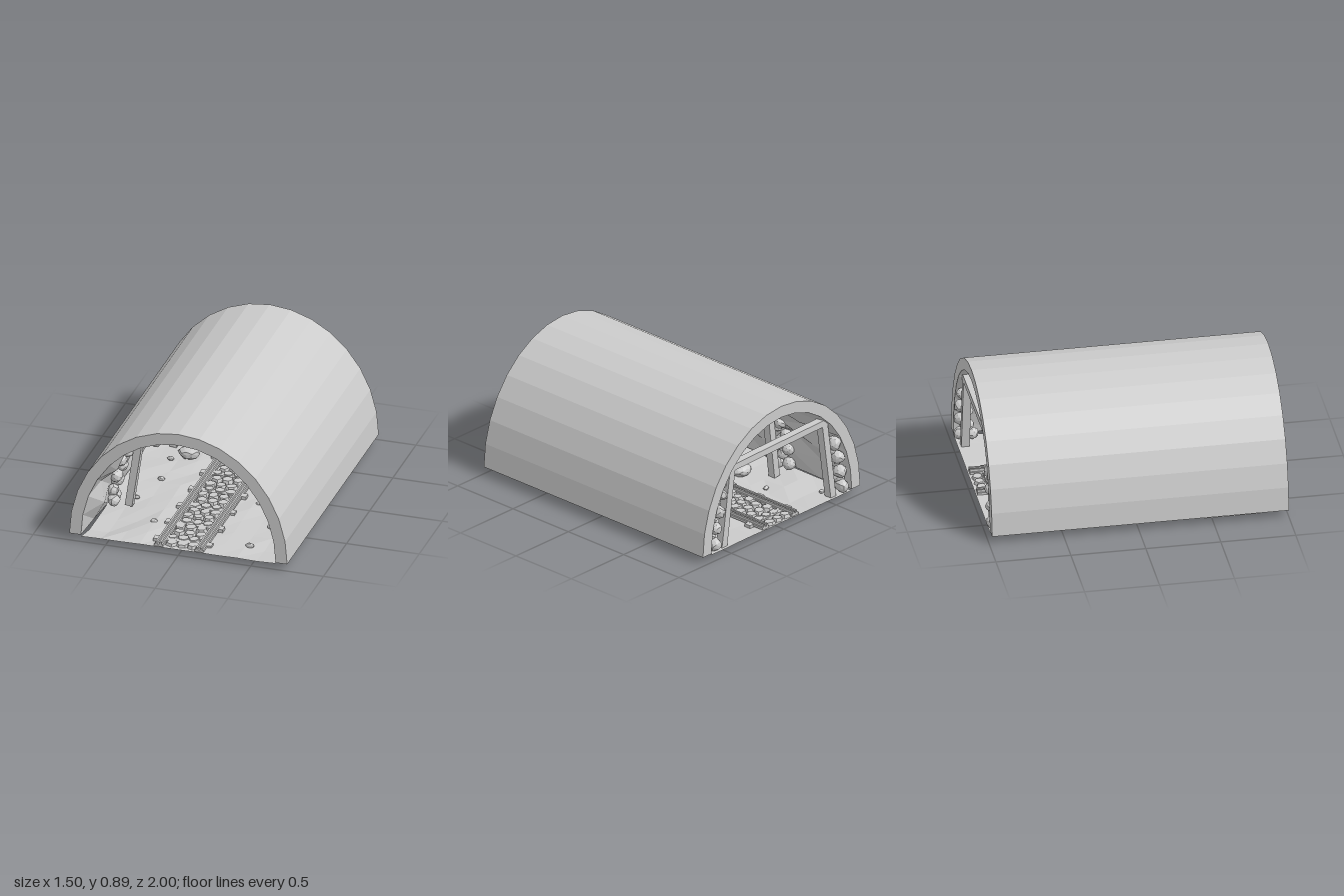
import * as THREE from 'three';

const BASE = 0.05, Z0 = -0.98, Z1 = 1, ARC = 16, ROWS = 8;
const mat = new THREE.MeshStandardMaterial({ color: 0xcccccc, flatShading: true });
const sheetMat = new THREE.MeshStandardMaterial({ color: 0xcccccc, flatShading: true, side: THREE.DoubleSide });

// repeatable noise in 0..1
function hash(a, b = 0, c = 0) {
  const s = Math.sin(a * 127.1 + b * 311.7 + c * 74.7 + 3.1) * 43758.5453;
  return s - Math.floor(s);
}

function add(parent, name, geometry, material = mat) {
  const mesh = new THREE.Mesh(geometry, material);
  mesh.name = name;
  parent.add(mesh);
  return mesh;
}

// grid of quads through point(i, j)
function sheet(nu, nv, point) {
  const pos = [], idx = [];
  for (let j = 0; j <= nv; j++) for (let i = 0; i <= nu; i++) pos.push(...point(i, j));
  for (let j = 0; j < nv; j++) for (let i = 0; i < nu; i++) {
    const a = j * (nu + 1) + i, b = a + 1, c = a + nu + 1, d = c + 1;
    idx.push(a, c, b, b, c, d);
  }
  const g = new THREE.BufferGeometry();
  g.setAttribute('position', new THREE.Float32BufferAttribute(pos, 3));
  g.setIndex(idx);
  const flat = g.toNonIndexed();
  flat.computeVertexNormals();
  return flat;
}

const rowZ = j => Z0 + (Z1 - Z0) * j / ROWS;
const arch = (i, rx, ry, z) => {
  const t = Math.PI * i / ARC;
  return [rx * Math.cos(t), BASE + ry * Math.sin(t), z];
};
const outer = (i, j) => arch(i, 0.75, 0.84, rowZ(j));
// rock face bulges inwards, but meets the end rings cleanly
const inner = (i, j) => {
  const end = j === 0 || j === ROWS;
  const foot = i === 0 || i === ARC;
  const n = end ? 0 : (foot ? 0.03 : 0.075) * hash(i, j);
  return arch(i, 0.67 - n, 0.76 - n, rowZ(j));
};

// timber between two points
function bar(parent, name, a, b, w, d) {
  const p = new THREE.Vector3(...a), q = new THREE.Vector3(...b);
  const m = add(parent, name, new THREE.BoxGeometry(w, p.distanceTo(q), d));
  m.position.copy(p).lerp(q, 0.5);
  m.quaternion.setFromUnitVectors(new THREE.Vector3(0, 1, 0), q.sub(p).normalize());
  return m;
}

// faceted, lumpy stone
function stone(parent, name, x, y, z, rx, ry, rz, seed) {
  const g = new THREE.IcosahedronGeometry(1, 1), p = g.attributes.position;
  const v = new THREE.Vector3();
  for (let i = 0; i < p.count; i++) {
    v.fromBufferAttribute(p, i);
    const k = 0.84 + 0.16 * hash(Math.round(v.x * 50) + seed, Math.round(v.y * 50), Math.round(v.z * 50));
    p.setXYZ(i, v.x * k * rx, v.y * k * ry, v.z * k * rz);
  }
  g.computeVertexNormals();
  add(parent, name, g).position.set(x, y, z);
}

function floorY(x, z) {
  const dip = Math.max(0, 1 - Math.abs(z - 0.63) / 0.36) * Math.max(0, 1 - Math.abs(x + 0.63) / 0.3);
  const end = Math.abs(z) > 0.95 ? 0.3 : 1;
  return Math.max(0, 0.044 - 0.02 * end * hash(x * 9, z * 7) - 0.08 * dip);
}

export function createModel() {
  const model = new THREE.Group();
  model.name = 'mineTunnel';

  // arched shell
  const shell = new THREE.Group();
  shell.name = 'tunnelShell';
  model.add(shell);
  add(shell, 'outerVault', sheet(ARC, ROWS, outer), sheetMat);
  add(shell, 'innerRockFace', sheet(ARC, ROWS, inner), sheetMat);
  for (const j of [0, ROWS])
    add(shell, 'endRing', sheet(ARC, 1, (i, k) => (k ? inner : outer)(i, j)), sheetMat);
  for (const i of [0, ARC])
    add(shell, 'wallFoot', sheet(1, ROWS, (k, j) => (k ? inner : outer)(i, j)), sheetMat);

  // uneven ground
  add(model, 'floor', sheet(10, 11, (i, j) => {
    const x = -0.67 + 0.134 * i, z = Z0 + (Z1 - Z0) * j / 11;
    return [x, floorY(x, z), z];
  }), sheetMat);

  // track: sleepers, rails and cobbles
  const track = new THREE.Group();
  track.name = 'track';
  model.add(track);
  for (let k = 0; k < 8; k++)
    add(track, 'sleeper', new THREE.BoxGeometry(0.4, 0.022, 0.05)).position.set(0, 0.046, -0.86 + k * 0.25);
  for (const s of [-1, 1]) {
    add(track, 'railFoot', new THREE.BoxGeometry(0.06, 0.016, 1.96)).position.set(s * 0.14, 0.05, 0.01);
    for (const e of [-1, 1])
      add(track, 'railEdge', new THREE.BoxGeometry(0.012, 0.022, 1.96)).position.set(s * 0.14 + e * 0.014, 0.064, 0.01);
  }
  for (let r = 0; r < 24; r++) for (let c = 0; c < 3; c++) {
    const n = r * 3 + c;
    const m = add(track, 'cobble', new THREE.CylinderGeometry(0.034, 0.044, 0.024, 5 + n % 3));
    m.scale.set(0.85 + 0.25 * hash(n), 1, 0.85 + 0.3 * hash(n, 1));
    m.rotation.y = hash(n, 2) * 6;
    m.position.set((c - 1) * 0.073 + (r % 2 ? 0.01 : -0.01), 0.047 + 0.006 * hash(n, 3), -0.93 + r * 0.081);
  }

  // timber frames: z, foot x, head x, beam heights at the two ends
  const frames = [
    [0.45, 0.51, 0.43, 0.59, 0.59],
    [-0.45, 0.49, 0.42, 0.61, 0.62],
    [-0.93, 0.52, 0.44, 0.605, 0.585],
  ];
  frames.forEach(([z, foot, head, yl, yr], f) => {
    const g = new THREE.Group();
    g.name = 'timberFrame';
    model.add(g);
    bar(g, 'crossBeam', [-head - 0.03, yl, z], [head + 0.03, yr, z], 0.045, 0.055);
    for (const s of [-1, 1]) {
      bar(g, 'post', [s * foot, 0.035, z], [s * head, 0.585, z], 0.05, 0.055);
      // stones packed between post and wall
      for (let k = 0; k < 8; k++) {
        const n = f * 40 + k + (s > 0 ? 20 : 0), y = 0.085 + k * 0.056;
        const wall = 0.67 * Math.sqrt(1 - ((y - BASE) / 0.76) ** 2);
        const r = 0.036 + 0.016 * hash(n, 5);
        const dz = (k % 2 ? 0.025 : -0.025) + 0.01 * hash(n, 6);
        stone(g, 'wallStone', s * (wall - 0.07 + 0.02 * hash(n, 7)), y, Math.max(z + dz, -0.945),
          r, r * 1.05, r * 1.15, n);
      }
      stone(g, 'footStone', s * 0.6, 0.08, z + 0.06, 0.045, 0.045, 0.05, f * 9 + s);
    }
  });

  // loose rubble on the ground
  stone(model, 'boulder', -0.34, 0.078, -0.3, 0.078, 0.045, 0.06, 71);
  stone(model, 'boulder', 0.46, 0.05, -0.4, 0.08, 0.035, 0.07, 72);
  for (let k = 0; k < 12; k++) {
    const s = k % 2 ? 1 : -1, r = 0.012 + 0.012 * hash(k, 8);
    stone(model, 'pebble', s * (0.26 + 0.26 * hash(k, 9)), 0.042, -0.85 + k * 0.15, r * 1.4, r, r, 80 + k);
  }
  return model;
}
